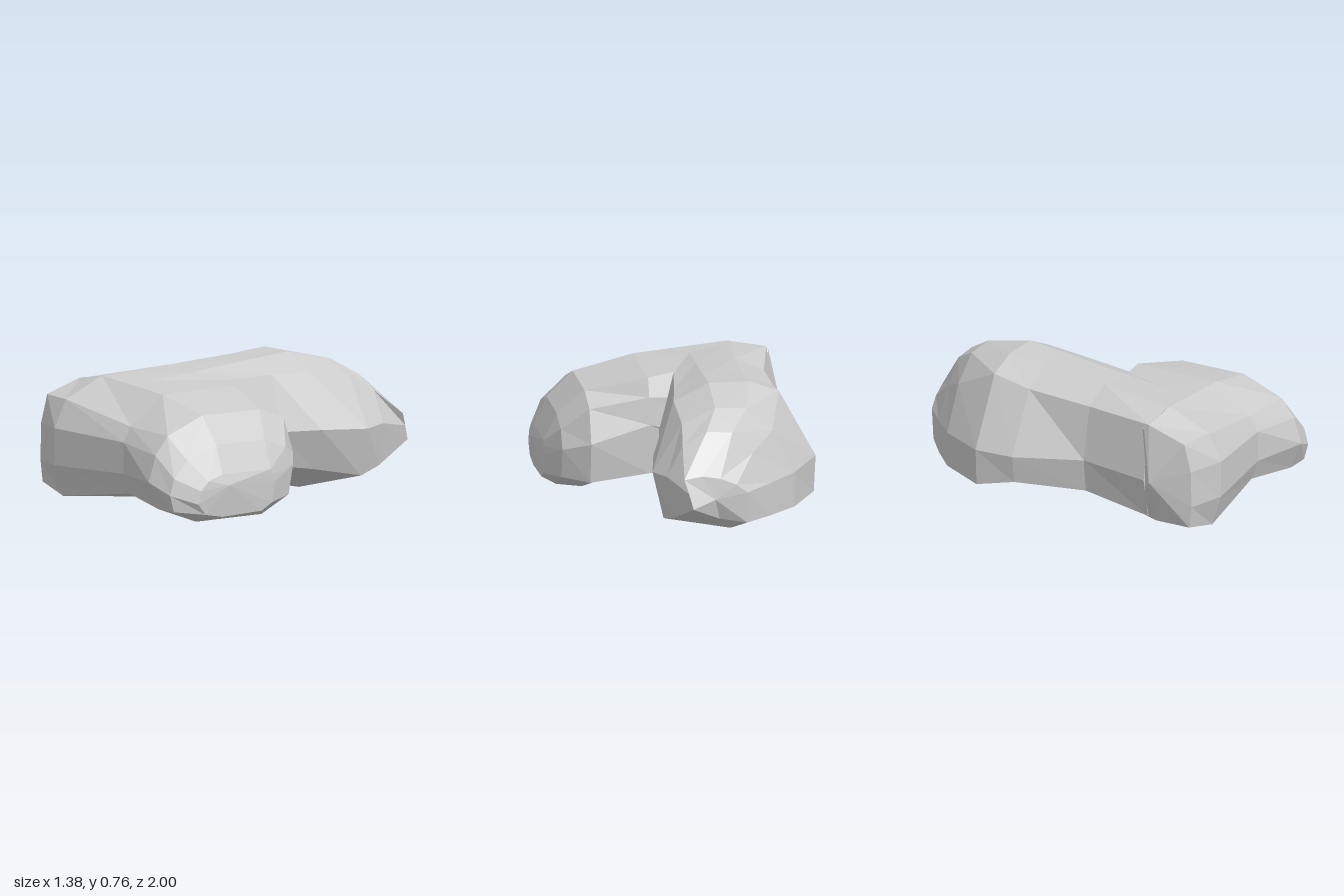
import * as THREE from 'three';

// Skins a closed shell over rings of equal point count, with a tip closing each end.
// place(a, b, s) turns a section point and its station along the axis into a position.
function loft(name, rings, startTip, endTip, place) {
  const positions = [];
  const n = rings[0].points.length;
  const tri = (...corners) => corners.forEach((c) => positions.push(...c));
  // A third number in a section point shifts it along the axis
  const placed = rings.map((r) => r.points.map(([a, b, shift = 0]) => place(a, b, r.at + shift)));
  const first = placed[0];
  const last = placed[placed.length - 1];
  const start = place(...startTip);
  const end = place(...endTip);
  for (let j = 0; j < n; j++) {
    const k = (j + 1) % n;
    tri(start, first[j], first[k]);
    tri(end, last[k], last[j]);
    for (let i = 0; i < placed.length - 1; i++) {
      const p = placed[i];
      const q = placed[i + 1];
      tri(p[j], q[j], p[k]);
      tri(p[k], q[j], q[k]);
    }
  }
  const geometry = new THREE.BufferGeometry();
  geometry.setAttribute('position', new THREE.Float32BufferAttribute(positions, 3));
  geometry.computeVertexNormals();
  const mesh = new THREE.Mesh(geometry, new THREE.MeshStandardMaterial({ color: 0xcccccc, flatShading: true }));
  mesh.name = name;
  return mesh;
}

const ring = (at, ...points) => ({ at, points });

export function createModel() {
  const group = new THREE.Group();
  group.name = 'bentRock';

  // Long arm, sections in x,y from front to back; each starts low on the left side and ends at the keel
  const arm = [
    ring(0.67, [-0.1, 0.15], [-0.08, 0.35], [-0.1, 0.55], [-0.16, 0.66], [-0.4, 0.684], [-0.595, 0.648], [-0.655, 0.35], [-0.61, 0.13], [-0.3, 0.1]),
    ring(0.25, [0.03, 0.15], [0.06, 0.36], [-0.02, 0.66], [-0.14, 0.7], [-0.35, 0.715], [-0.51, 0.64], [-0.57, 0.35], [-0.55, 0.17], [-0.24, 0.12]),
    ring(-0.13, [0.06, 0.18], [0.12, 0.37], [0.04, 0.67], [-0.12, 0.74], [-0.33, 0.74], [-0.5, 0.66], [-0.68, 0.33], [-0.66, 0.18], [-0.22, 0.08]),
    ring(-0.35, [0.11, 0.15], [0.19, 0.37], [0.08, 0.67], [-0.11, 0.76], [-0.33, 0.76], [-0.49, 0.7], [-0.69, 0.33], [-0.68, 0.13], [-0.22, 0.03]),
    ring(-0.62, [0.18, 0.1], [0.24, 0.36], [0.08, 0.62], [-0.1, 0.7], [-0.27, 0.69], [-0.41, 0.56], [-0.53, 0.32], [-0.53, 0.13], [-0.22, 0, 0.12]),
    ring(-0.76, [0.15, 0.14], [0.185, 0.37], [0.1, 0.54], [-0.03, 0.61], [-0.17, 0.6], [-0.28, 0.48], [-0.38, 0.31], [-0.38, 0.13], [-0.16, 0.07]),
    ring(-0.9, [0.08, 0.25, -0.1], [0.1, 0.33, -0.07], [0.12, 0.4, -0.04], [0.02, 0.41, -0.02], [-0.08, 0.39, -0.01], [-0.17, 0.35], [-0.23, 0.3, 0.01], [-0.23, 0.13, 0.02], [-0.08, 0.16, 0.02]),
  ];
  group.add(loft('longArm', arm, [-0.3, 0.4, 0.67], [-0.05, 0.28, -0.93], (x, y, z) => [x, y, z]));

  // Crosswise block, sections in z,y from right to left; each runs up the front, over the top, down the back and under
  const block = [
    ring(-0.6, [0.92, 0.11], [0.935, 0.23], [0.93, 0.43], [0.89, 0.58], [0.67, 0.65], [0.64, 0.62], [0.62, 0.5], [0.61, 0.3], [0.61, 0.16], [0.64, 0.13], [0.72, 0.11]),
    ring(-0.39, [0.94, 0.06], [0.995, 0.23], [0.995, 0.43], [0.92, 0.58], [0.68, 0.686], [0.3, 0.7], [0.22, 0.5], [0.2, 0.25], [0.25, 0.15], [0.45, 0.11], [0.7, 0.08]),
    ring(0.13, [0.88, 0.13], [0.92, 0.24], [0.92, 0.41], [0.87, 0.49], [0.66, 0.645], [0.175, 0.65], [0.135, 0.55], [0.12, 0.4], [0.13, 0.13], [0.35, 0.11], [0.68, 0.095]),
    ring(0.46, [0.93, 0.09], [0.995, 0.24], [0.95, 0.38], [0.87, 0.48], [0.64, 0.57], [0.26, 0.57], [0.1, 0.51], [0.04, 0.33], [0.07, 0.11], [0.35, 0.01], [0.68, 0]),
    ring(0.6, [0.93, 0.09], [0.955, 0.18], [0.93, 0.27], [0.84, 0.36], [0.65, 0.43], [0.33, 0.43], [0.19, 0.38], [0.14, 0.28], [0.17, 0.12], [0.35, 0.03], [0.68, 0.03]),
    ring(0.67, [0.77, 0.07], [0.82, 0.13], [0.8, 0.2], [0.75, 0.25], [0.66, 0.28], [0.34, 0.28], [0.32, 0.25], [0.31, 0.21], [0.33, 0.1], [0.4, 0.06], [0.66, 0.05]),
  ];
  group.add(loft('crossBlock', block, [0.71, 0.35, -0.67], [0.63, 0.22, 0.69], (z, y, x) => [x, y, z]));

  return group;
}
